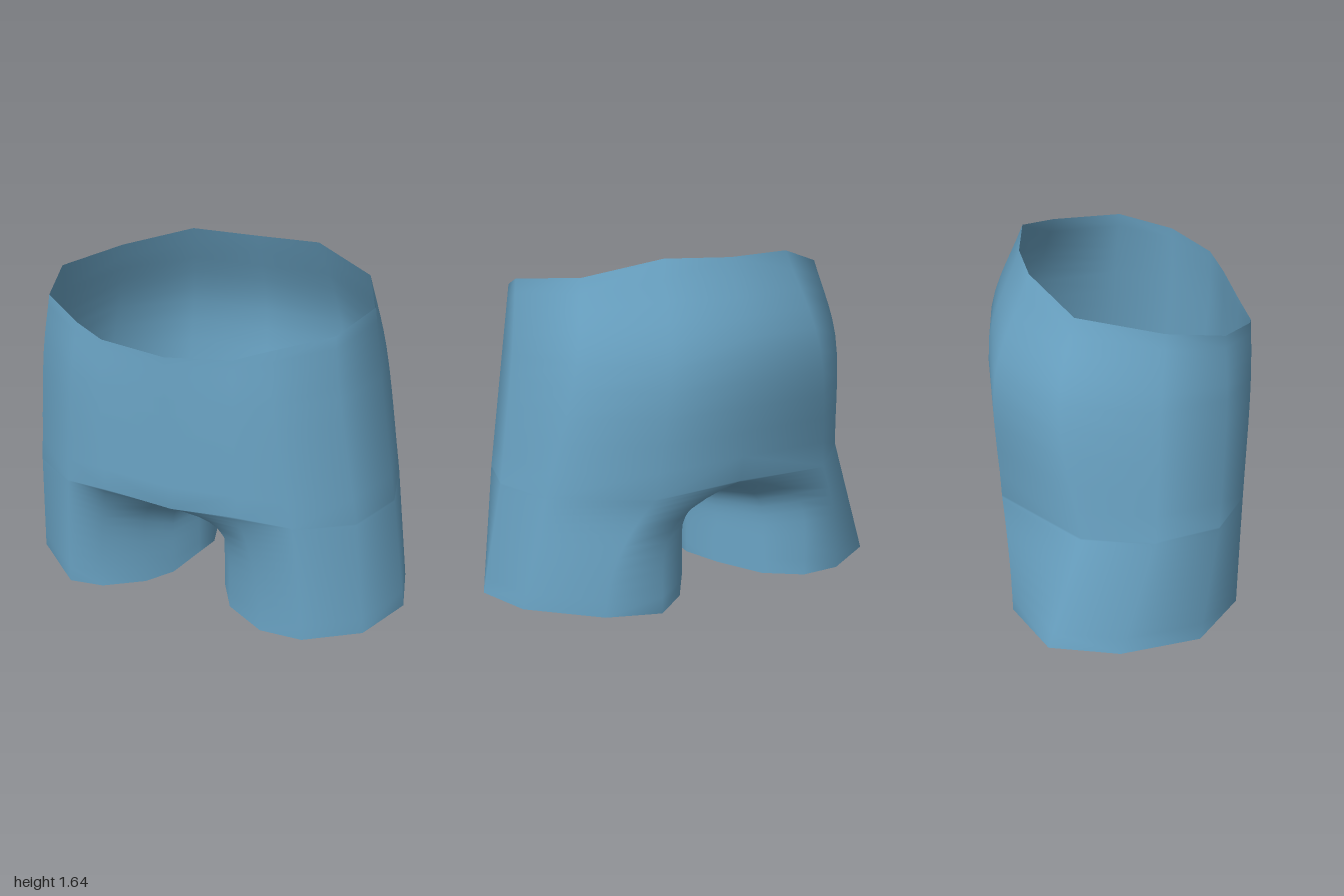
import * as THREE from 'three';
import { mergeGeometries, mergeVertices } from 'three/addons/utils/BufferGeometryUtils.js';

const V = (x, y, z) => new THREE.Vector3(x, y, z);

// Half outlines of the body from front centre round the side to back centre.
// Each point is [distance from centre line, y, z]; cx is the centre line.
const WAIST = { cx: -0.02, pts: [[0, 1.35, 0.605], [0.32, 1.38, 0.59], [0.47, 1.43, 0.55], [0.71, 1.48, 0.39],
  [0.8, 1.54, 0.12], [0.66, 1.57, -0.24], [0.34, 1.65, -0.41], [0, 1.64, -0.44]] };
const HIP = { cx: -0.025, pts: [[0, 1.15, 0.6], [0.33, 1.16, 0.6], [0.5, 1.18, 0.56], [0.75, 1.2, 0.4],
  [0.845, 1.2, 0.1], [0.74, 1.2, -0.32], [0.42, 1.2, -0.58], [0, 1.2, -0.6]] };
const SEAT = { cx: -0.01, pts: [[0, 0.6, 0.595], [0.34, 0.63, 0.6], [0.58, 0.6, 0.54], [0.83, 0.6, 0.38],
  [0.92, 0.6, 0.08], [0.85, 0.6, -0.24], [0.48, 0.62, -0.575], [0, 0.62, -0.555]] };

// Crotch seam between the legs, from back to front
const CROTCH = [[-0.02, 0.56, -0.4], [-0.025, 0.51, -0.2], [-0.025, 0.485, 0], [-0.025, 0.48, 0.17], [-0.015, 0.49, 0.36]];

// Leg openings: eight outer points, then five inner points
const HEM_LEFT = [[0.22, 0.03, 0.43], [0.42, 0.01, 0.53], [0.63, 0.015, 0.53], [0.88, 0.03, 0.38], [1, 0.06, 0.12],
  [0.93, 0.06, -0.16], [0.66, 0.06, -0.45], [0.42, 0.06, -0.55],
  [0.24, 0.06, -0.42], [0.1, 0.08, -0.23], [0.02, 0.09, -0.02], [0.07, 0.08, 0.15], [0.13, 0.06, 0.29]];
const HEM_RIGHT = [[-0.28, 0.005, 0.36], [-0.45, 0.015, 0.5], [-0.62, 0.02, 0.53], [-0.91, 0.04, 0.3], [-1, 0.06, -0.08],
  [-0.92, 0.06, -0.4], [-0.62, 0.06, -0.55], [-0.42, 0.06, -0.54],
  [-0.26, 0.06, -0.41], [-0.13, 0.08, -0.2], [-0.07, 0.09, -0.02], [-0.1, 0.08, 0.1], [-0.18, 0.02, 0.24]];

// How early each outer column of a leg moves out towards the hem; inner columns use INNER
const SPREAD = [6, 2, 1.6, 1, 1, 1, 2, 6], INNER = 8;

// Surface through rows of points, running downwards
function loft(rows, closed, flip) {
  const n = rows[0].length, index = [];
  const pos = rows.flat().flatMap((p) => [p.x, p.y, p.z]);
  for (let r = 0; r < rows.length - 1; r++) {
    for (let i = 0; i < (closed ? n : n - 1); i++) {
      const j = (i + 1) % n;
      const a = r * n + i, b = r * n + j, c = a + n, d = b + n;
      if (flip) index.push(a, b, c, b, d, c);
      else index.push(a, c, b, b, c, d);
    }
  }
  const g = new THREE.BufferGeometry();
  g.setAttribute('position', new THREE.Float32BufferAttribute(pos, 3));
  g.setIndex(index);
  return g;
}

const halfRing = (ring, side) => ring.pts.map(([x, y, z]) => V(ring.cx + side * x, y, z));
const steps = (n) => Array.from({ length: n + 1 }, (_, i) => i / n);

// Hips and seat on one side
function bodyHalf(side) {
  const rings = [WAIST, HIP, SEAT].map((r) => halfRing(r, side));
  const columns = rings[0].map((_, i) => new THREE.CatmullRomCurve3(rings.map((r) => r[i])));
  return loft(steps(10).map((t) => columns.map((c) => c.getPoint(t))), false, side < 0);
}

// Leg from seat and crotch seam to the hem; the inner side spreads early to leave a narrow gap
function leg(side, hem) {
  const top = [...halfRing(SEAT, side), ...CROTCH.map((p) => V(...p))];
  const rows = steps(12).map((s) => top.map((p, i) => {
    const t = s ** 1.7;
    const spread = 1 - (1 - t) ** (SPREAD[i] ?? INNER);
    const [x, y, z] = hem[i];
    return V(p.x + (x - p.x) * spread, p.y + (y - p.y) * t, p.z + (z - p.z) * spread);
  }));
  return loft(rows, true, side < 0);
}

// Turned-in edge of a leg opening
function hemLip(side, hem) {
  const outer = hem.map((p) => V(...p));
  const centre = V(side * 0.5, 0.08, 0);
  const inner = outer.map((p, i) => {
    const q = p.clone().lerp(centre, i < 8 ? 0.2 : 0.06);
    q.y = p.y + 0.025;
    return q;
  });
  return loft([outer, inner], true, side < 0);
}

export function createModel() {
  const group = new THREE.Group();
  group.name = 'shorts';
  const fabric = new THREE.MeshStandardMaterial({ color: 0x6ba5c6, side: THREE.DoubleSide });
  fabric.name = 'blue fabric';

  const add = (name, geometry) => {
    geometry.computeVertexNormals();
    const mesh = new THREE.Mesh(geometry, fabric);
    mesh.name = name;
    group.add(mesh);
  };

  // Body and legs as one continuous cloth
  add('shortsCloth', mergeVertices(mergeGeometries([
    bodyHalf(1), bodyHalf(-1), leg(1, HEM_LEFT), leg(-1, HEM_RIGHT),
  ]), 1e-4));

  // Hems
  add('leftHem', hemLip(1, HEM_LEFT));
  add('rightHem', hemLip(-1, HEM_RIGHT));
  return group;
}
